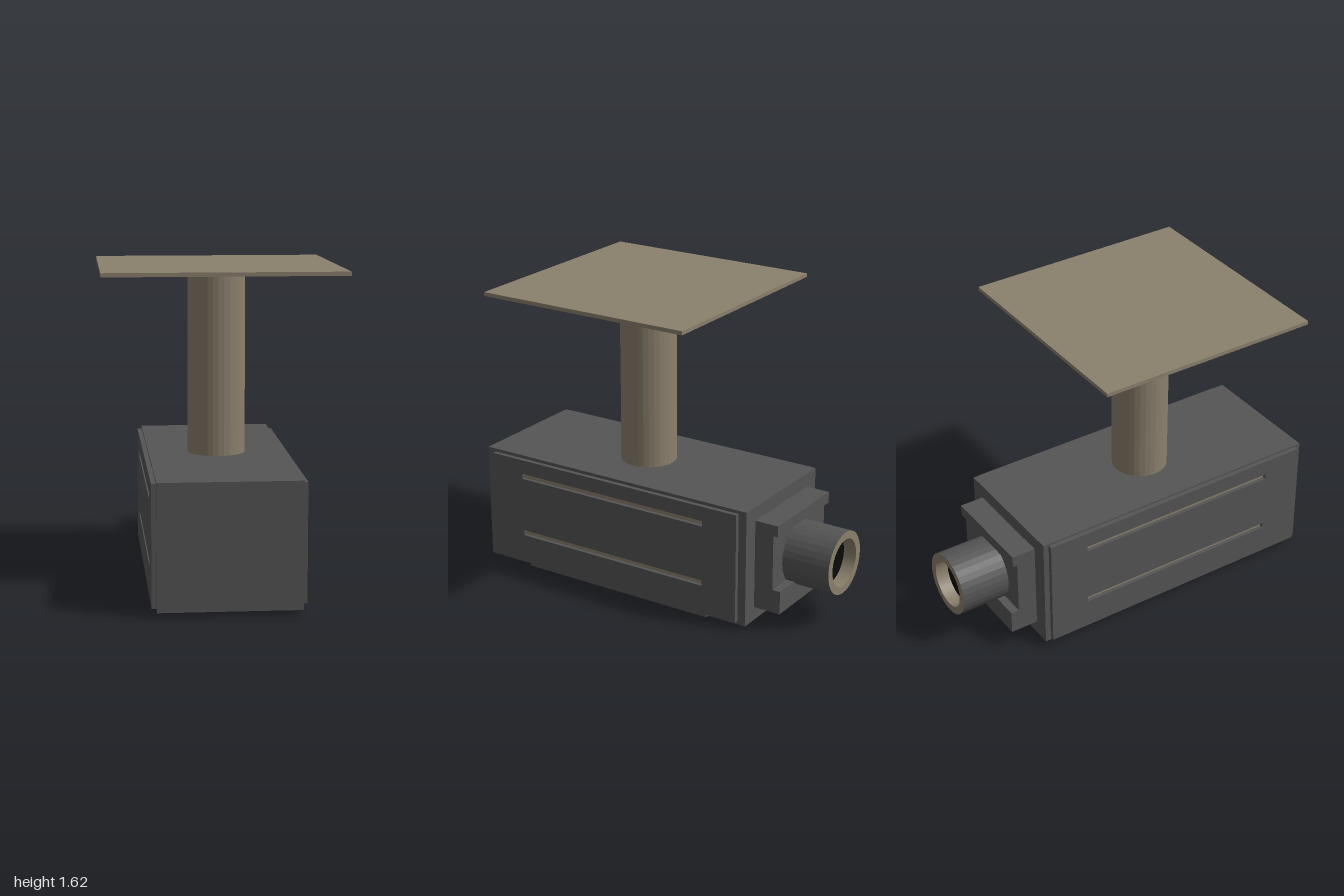
import * as THREE from 'three';

export function createModel() {
  const model = new THREE.Group();
  const mat = (color, extra = {}) => {
    const m = new THREE.MeshStandardMaterial({ color, ...extra });
    return m;
  };
  const grey = mat(0x555555);
  const greyFlat = mat(0x555555, { flatShading: true });
  const tan = mat(0x8b806d);
  const tanFlat = mat(0x8b806d, { flatShading: true });
  const beige = mat(0xbfb9a5);
  const black = mat(0x0a0a0a);

  const add = (name, geometry, material, x = 0, y = 0, z = 0) => {
    const mesh = new THREE.Mesh(geometry, material);
    mesh.name = name;
    mesh.position.set(x, y, z);
    model.add(mesh);
    return mesh;
  };
  // Box given by its extents
  const box = (name, material, [x0, x1], [y0, y1], [z0, z1]) =>
    add(name, new THREE.BoxGeometry(x1 - x0, y1 - y0, z1 - z0), material,
      (x0 + x1) / 2, (y0 + y1) / 2, (z0 + z1) / 2);
  const rect = (PathType, a0, a1, b0, b1) =>
    new PathType([[a0, b0], [a1, b0], [a1, b1], [a0, b1]].map(p => new THREE.Vector2(...p)));

  // Main housing
  box('housing', grey, [-0.35, 0.35], [0.027, 0.655], [-0.63, 1]);

  // Bottom cover with a light underside
  box('bottomCover', grey, [-0.33, 0.33], [0.002, 0.03], [-0.385, 0.755]);
  const underside = add('bottomCoverFace', new THREE.PlaneGeometry(0.66, 1.14), beige, 0, 0, 0.185);
  underside.rotation.x = Math.PI / 2;

  // Slotted side panels, with tan strips at the bottom of the slots
  const slots = [[0.2, 0.23], [0.53, 0.56]];
  const panels = [
    { name: 'left', outer: 0.374, strip: 0.351, z: [-0.585, 0.95], y: [0.045, 0.638] },
    { name: 'right', outer: -0.35, strip: -0.351, z: [-0.6, 0.97], y: [0.04, 0.645] },
  ];
  for (const p of panels) {
    const shape = rect(THREE.Shape, ...p.z, ...p.y);
    for (const [y0, y1] of slots) {
      shape.holes.push(rect(THREE.Path, -0.385, 0.755, y0, y1));
      box(p.name + 'SlotStrip', tan, [p.strip - 0.003, p.strip + 0.003], [y0, y1], [-0.385, 0.755]);
    }
    const panel = add(p.name + 'SidePanel',
      new THREE.ExtrudeGeometry(shape, { depth: 0.024, bevelEnabled: false }), grey, p.outer);
    panel.rotation.y = -Math.PI / 2;
  }

  // Lens mount: stepped profile (z, y) swept across x
  const mountProfile = new THREE.Shape([
    [-0.62, 0.1], [-0.62, 0.58], [-0.76, 0.58], [-0.76, 0.52],
    [-0.735, 0.52], [-0.735, 0.225], [-0.78, 0.225], [-0.78, 0.1],
  ].map(p => new THREE.Vector2(...p)));
  const mount = add('lensMount',
    new THREE.ExtrudeGeometry(mountProfile, { depth: 0.525, bevelEnabled: false }), grey, 0.2625);
  mount.rotation.y = -Math.PI / 2;

  // Lens barrel, rim, inner wall and glass
  const lensY = 0.341, rOut = 0.168, rIn = 0.126, depth = 0.07;
  const barrel = add('lensBarrel', new THREE.CylinderGeometry(rOut, rOut, 0.27, 32, 1, true),
    greyFlat, 0, lensY, -0.865);
  barrel.rotation.x = -Math.PI / 2;
  const rim = add('lensRim', new THREE.RingGeometry(rIn, rOut, 32), tan, 0, lensY, -1);
  rim.rotation.y = Math.PI;
  const wall = add('lensInnerWall', new THREE.CylinderGeometry(rIn, rIn, depth, 32, 1, true),
    mat(0x8b806d, { side: THREE.BackSide }), 0, lensY, -1 + depth / 2);
  wall.rotation.x = -Math.PI / 2;
  const glass = add('lensGlass', new THREE.CircleGeometry(rIn, 32), black, 0, lensY, -1 + depth);
  glass.rotation.y = Math.PI;

  // Ceiling post and mounting plate
  add('post', new THREE.CylinderGeometry(0.147, 0.147, 0.96, 32), tanFlat, 0, 1.125, 0.187);
  box('mountingPlate', tan, [-0.597, 0.597], [1.6, 1.62], [-0.41, 0.78]);

  return model;
}
